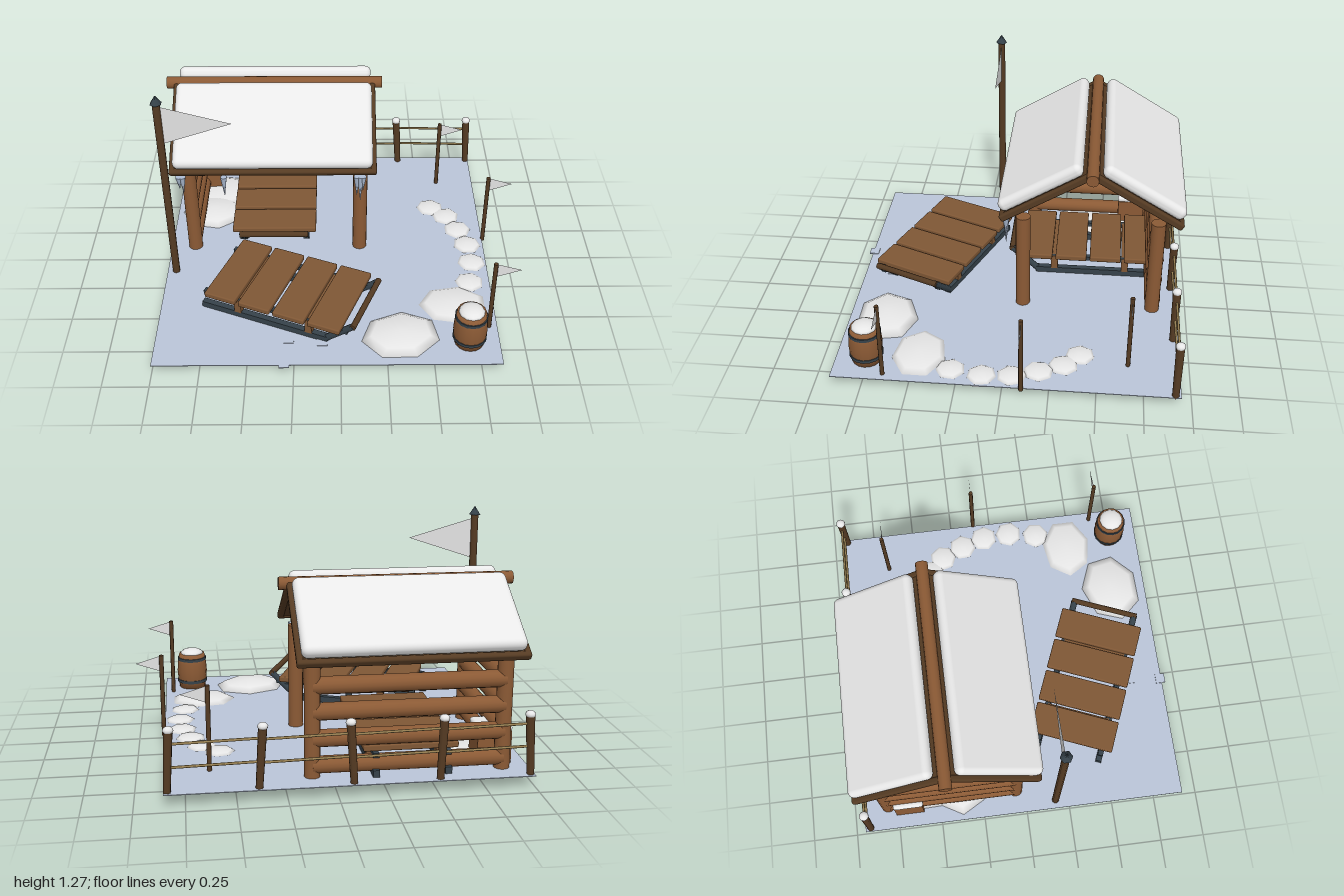
import * as THREE from 'three';
import { RoundedBoxGeometry } from 'three/addons/geometries/RoundedBoxGeometry.js';

const mat = (name, color, side = THREE.FrontSide) => {
  const m = new THREE.MeshStandardMaterial({ color, side });
  m.name = name;
  return m;
};

export function createModel() {
  const M = {
    ground: mat('icy ground', 0xbac5d8),
    snow: mat('snow', 0xeeeeee),
    cloth: mat('flag cloth', 0xe2e2e2, THREE.DoubleSide),
    log: mat('log wood', 0x8b5a35),
    plank: mat('plank wood', 0x7f5735),
    dark: mat('dark wood', 0x553b23),
    metal: mat('slate metal', 0x36424a),
    rope: mat('rope', 0x9c8455),
    ice: mat('ice', 0xaebdd4),
  };
  const root = new THREE.Group();
  root.name = 'snowyShelter';
  const G = 0.07, BASE = 0.062;

  const add = (parent, name, geo, material, x = 0, y = 0, z = 0) => {
    const m = new THREE.Mesh(geo, material);
    m.name = name;
    m.position.set(x, y, z);
    parent.add(m);
    return m;
  };
  const group = (name, x = 0, y = 0, z = 0, parent = root) => {
    const g = new THREE.Group();
    g.name = name;
    g.position.set(x, y, z);
    parent.add(g);
    return g;
  };
  const box = (w, h, d) => new THREE.BoxGeometry(w, h, d);
  // Round bar between two points
  const bar = (parent, name, a, b, r, material, sides = 12, r2 = r) => {
    const p = new THREE.Vector3(...a), q = new THREE.Vector3(...b);
    const d = q.clone().sub(p);
    const m = add(parent, name, new THREE.CylinderGeometry(r2, r, d.length(), sides), material);
    m.position.copy(p).add(q).multiplyScalar(0.5);
    m.quaternion.setFromUnitVectors(new THREE.Vector3(0, 1, 0), d.normalize());
    return m;
  };

  // Ground sheet and small ice plates
  add(root, 'ground', box(1.855, 0.004, 1.855), M.ground, -0.072, G - 0.002, -0.015);
  for (const [x, z] of [[-0.3, 0.905], [-0.28, 0.73], [-0.1, 0.75]])
    add(root, 'icePlate', box(0.055, 0.006, 0.055), M.ground, x, G + 0.002, z);

  // Shelter posts and stacked logs (back and left walls)
  const hut = group('hut');
  const L = -0.86, R = 0.117, F = -0.055, B = -0.8;
  for (const x of [L, R]) for (const z of [F, B])
    bar(hut, 'cornerPost', [x, BASE, z], [x, 0.66, z], 0.041, M.log, 16);
  for (const y of [0.13, 0.27, 0.41, 0.545]) {
    bar(hut, 'backLog', [L, y, B], [R, y, B], 0.045, M.log, 14);
    bar(hut, 'sideLog', [L, y, B], [L, y, F], 0.042, M.log, 14);
  }

  // Gable roof: two mirrored slopes with edge poles and a snow pad
  const roof = group('roof', -0.372, 0.985, -0.43);
  for (const turn of [0, Math.PI]) {
    const side = group('roofSide', 0, 0, 0, roof);
    side.rotation.y = turn;
    const slope = group('roofSlope', 0, 0, 0, side);
    slope.rotation.x = 0.545;
    add(slope, 'roofBoard', box(1.14, 0.026, 0.575), M.dark, 0, 0, 0.287);
    for (const x of [-0.56, 0.56])
      add(slope, 'roofEdge', new RoundedBoxGeometry(0.034, 0.042, 0.58, 2, 0.012), M.dark, x, 0, 0.287);
    add(slope, 'eave', new RoundedBoxGeometry(1.155, 0.042, 0.034, 2, 0.012), M.dark, 0, 0, 0.563);
    add(slope, 'roofSnow', new RoundedBoxGeometry(1.11, 0.076, 0.52, 5, 0.034), M.snow, 0, 0.05, 0.3);
  }
  bar(hut, 'ridgeBeam', [-0.99, 0.98, -0.43], [0.245, 0.98, -0.43], 0.034, M.log, 14);

  // Icicles under the front eave
  for (const [x, len] of [[-0.9, 0.08], [-0.88, 0.11], [-0.65, 0.13], [0.095, 0.13], [0.115, 0.165], [0.13, 0.1]])
    bar(hut, 'icicle', [x, 0.65, 0.04], [x, 0.65 - len, 0.04], 0.02, M.ice, 6, 0.001);

  // Pennants
  const pennant = (g, x, top, h, len) => {
    const s = new THREE.Shape([
      new THREE.Vector2(x, top), new THREE.Vector2(x, top - h), new THREE.Vector2(x + len, top - h * 0.46)]);
    add(g, 'pennant', new THREE.ShapeGeometry(s), M.cloth);
  };
  const mast = group('mainMast', -0.95, 0, 0.17);
  bar(mast, 'mastPole', [0, BASE, 0], [0, 1.225, 0], 0.021, M.dark, 10);
  add(mast, 'mastTip', new THREE.ConeGeometry(0.033, 0.05, 6), M.metal, 0, 1.246, 0);
  pennant(mast, 0.015, 1.2, 0.23, 0.368);
  for (const [x, z] of [[0.625, -0.665], [0.86, -0.107], [0.81, 0.635]]) {
    const g = group('markerFlag', x, 0, z);
    bar(g, 'markerPole', [0, BASE, 0], [0, 0.525, 0], 0.012, M.dark, 8);
    pennant(g, 0.01, 0.52, 0.085, 0.13);
  }

  // Back fence: leaning posts, snow caps and two ropes
  const fence = group('fence');
  const posts = [-0.97, -0.52, -0.07, 0.38, 0.83];
  posts.forEach((x, i) => {
    const lean = [0.008, -0.006, 0.01, -0.01, -0.008][i];
    bar(fence, 'fencePost', [x - lean, BASE, -0.912], [x + lean, 0.385, -0.912], 0.019, M.dark, 9, 0.023);
    const cap = add(fence, 'postSnow', new THREE.SphereGeometry(0.027, 10, 8), M.snow, x + lean, 0.388, -0.912);
    cap.scale.y = 0.75;
    if (i) for (const y of [0.325, 0.205])
      bar(fence, 'fenceRope', [posts[i - 1], y + 0.004 * (5 - i), -0.915], [x, y + 0.004 * (4 - i) - 0.006, -0.915], 0.007, M.rope, 6);
  });

  // Barrel with hoops and a snow top
  const barrel = group('barrel', 0.69, 0, 0.742);
  const prof = [[0, BASE], [0.078, BASE], [0.088, 0.12], [0.092, 0.175], [0.088, 0.23], [0.078, 0.287], [0, 0.287]];
  add(barrel, 'barrelBody', new THREE.LatheGeometry(prof.map(p => new THREE.Vector2(...p)), 16), M.log);
  for (const [y, r] of [[0.115, 0.092], [0.255, 0.088]])
    add(barrel, 'barrelHoop', new THREE.CylinderGeometry(r, r, 0.018, 16), M.metal, 0, y, 0);
  add(barrel, 'barrelSnow', new THREE.SphereGeometry(0.07, 12, 8), M.snow, 0, 0.287, 0).scale.y = 0.42;

  // Crate pushed through the side wall
  const crate = group('crate', -0.835, 0, -0.675);
  add(crate, 'crateBody', box(0.18, 0.175, 0.16), M.log, 0, 0.155, 0);
  add(crate, 'crateSnow', new RoundedBoxGeometry(0.185, 0.035, 0.17, 3, 0.016), M.snow, 0, 0.256, 0);

  // Snow lumps: path stones, two large slabs and drifts
  const lump = (name, x, z, rx, rz, y0, y1, turn) => {
    const m = add(root, name, new THREE.SphereGeometry(1, 7, 4), M.snow, x, (y0 + y1) / 2, z);
    m.scale.set(rx, (y1 - y0) / 2, rz);
    m.rotation.y = turn;
  };
  [[0.565, -0.405], [0.655, -0.32], [0.715, -0.19], [0.76, -0.05], [0.77, 0.11], [0.74, 0.28]].forEach(([x, z], i) =>
    lump('pathStone', x, z, 0.095, 0.093, 0.035, 0.088, i * 0.7));
  lump('snowSlab', 0.63, 0.465, 0.22, 0.17, 0.015, 0.1, 0);
  lump('snowSlab', 0.325, 0.7, 0.235, 0.19, 0.005, 0.115, 0.2);
  lump('snowDrift', -0.78, -0.37, 0.21, 0.18, 0.005, 0.11, 0);
  lump('snowDrift', -0.74, -0.57, 0.19, 0.18, 0.03, 0.105, 0.5);

  // Sleds: local +x is the travel direction
  const sled = (x, z, turn) => {
    const g = group('sled', x, 0, z);
    g.rotation.y = turn;
    for (let i = 0; i < 4; i++)
      add(g, 'sledPlank', new RoundedBoxGeometry(0.183, 0.034, 0.49, 2, 0.008), M.plank, -0.305 + i * 0.203, 0.208, 0);
    for (const s of [-0.185, 0.185]) {
      add(g, 'runner', box(0.75, 0.04, 0.034), M.metal, -0.065, 0.086, s);
      bar(g, 'runnerCurl', [0.3, 0.088, s], [0.455, 0.228, s], 0.019, M.metal, 8);
      add(g, 'upperRail', box(0.85, 0.024, 0.03), M.metal, 0, 0.18, s);
      for (const a of [-0.22, 0.2])
        add(g, 'sledLeg', box(0.04, 0.09, 0.036), M.plank, a, 0.146, s);
    }
    for (const a of [-0.22, 0.2])
      add(g, 'crossBatten', box(0.04, 0.03, 0.37), M.plank, a, 0.178, 0);
    bar(g, 'sledHandle', [0.455, 0.228, -0.2], [0.455, 0.228, 0.2], 0.017, M.dark, 8);
  };
  sled(-0.285, 0.445, -0.387);
  sled(-0.385, -0.42, -Math.PI / 2);

  return root;
}
